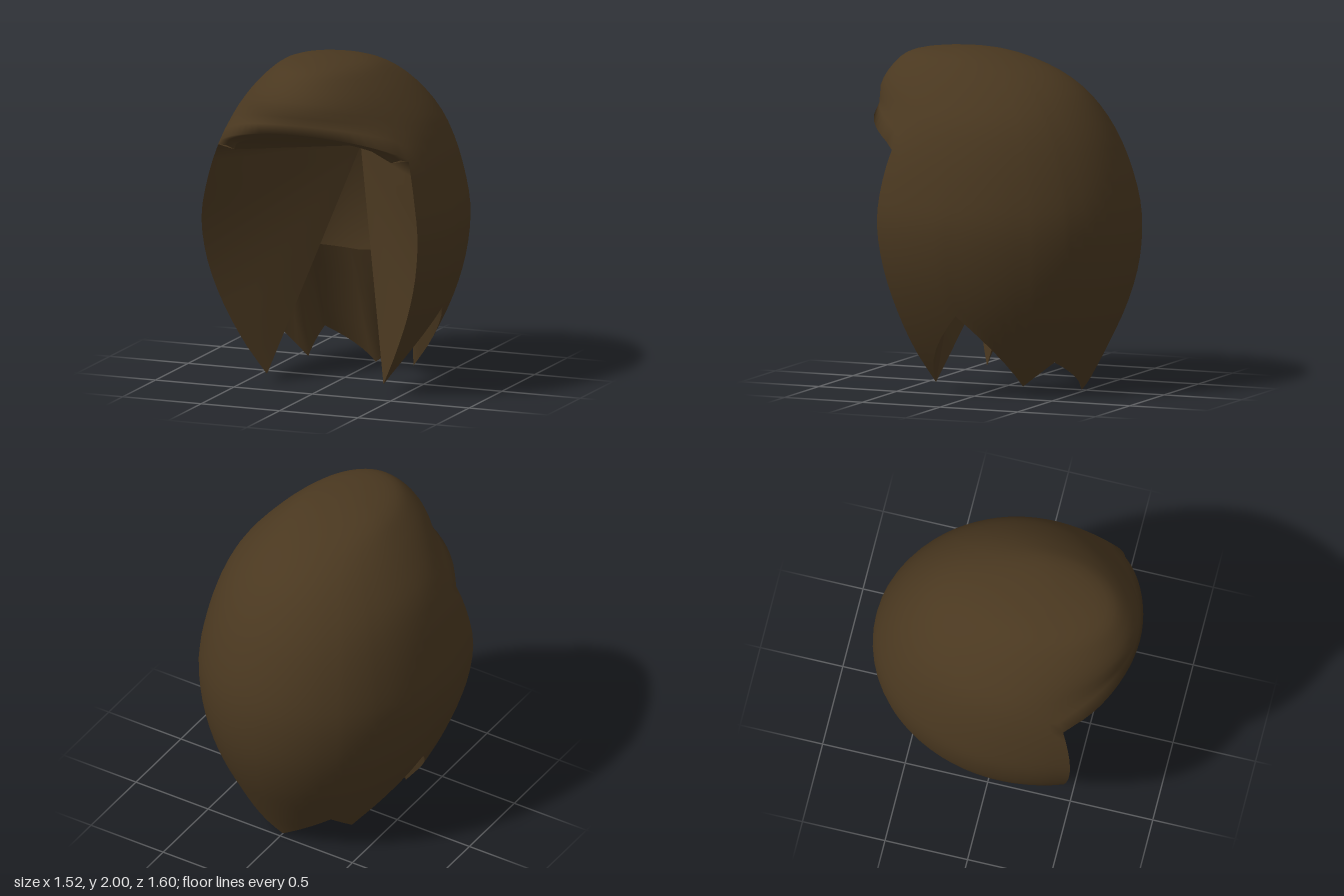
import * as THREE from 'three';
import { mergeGeometries, mergeVertices } from 'three/addons/utils/BufferGeometryUtils.js';

const DEG = Math.PI / 180;
const EDGE = 115; // angle of the front edge, measured from the back
const CORNER_Y = 1.45;

// Cross-sections from the crown down: y, half width, z of widest point, back z, front z
const SECTIONS = [
  [2.0, 0, 0.3, 0.3, 0.3], [1.97, 0.23, 0.24, 0, 0.59], [1.88, 0.37, 0.2, -0.28, 0.72],
  [1.77, 0.48, 0.16, -0.45, 0.785], [1.62, 0.595, 0.13, -0.58, 0.8], [1.45, 0.67, 0.12, -0.68, 0.98],
  [1.2, 0.735, 0.12, -0.77, 1.1], [1.0, 0.76, 0.12, -0.8, 1.12], [0.75, 0.73, 0.12, -0.785, 1.05],
  [0.5, 0.65, 0.1, -0.715, 0.95], [0.25, 0.53, 0.1, -0.6, 0.78], [0, 0.38, 0.1, -0.47, 0.53],
];
const depth = (y) => Math.sqrt(Math.max(0, 2 - y));
const KEYS = SECTIONS.map((s) => depth(s[0]));

// Smooth interpolation of one column of the section table
function sample(y, col) {
  const q = depth(y), n = KEYS.length;
  let i = 0;
  while (i < n - 2 && q > KEYS[i + 1]) i++;
  const v = (k) => SECTIONS[k][col];
  const slope = (k) => {
    const a = Math.max(0, k - 1), b = Math.min(n - 1, k + 1);
    return (v(b) - v(a)) / (KEYS[b] - KEYS[a]);
  };
  const h = KEYS[i + 1] - KEYS[i], t = (q - KEYS[i]) / h, t2 = t * t, t3 = t2 * t;
  return (2 * t3 - 3 * t2 + 1) * v(i) + (t3 - 2 * t2 + t) * h * slope(i)
    + (3 * t2 - 2 * t3) * v(i + 1) + (t3 - t2) * h * slope(i + 1);
}

// Point on the outer surface; angle runs from the back (0) over +x (90) to the front (180)
function shellPoint(angle, y) {
  const mid = sample(y, 2), c = Math.cos(angle * DEG);
  const reach = c > 0 ? mid - sample(y, 3) : sample(y, 4) - mid;
  return new THREE.Vector3(sample(y, 1) * Math.sin(angle * DEG), y, mid - reach * c);
}

// Zigzag tips along the bottom: angle, height
const TIPS = [[0, 0], [38, 0.2], [55, 0.05], [87, 0.49], [EDGE, 0.05]];
const halfHem = [];
for (let k = 0; k < TIPS.length - 1; k++) {
  for (let i = 0; i < 6; i++) {
    halfHem.push(TIPS[k].map((v, c) => THREE.MathUtils.lerp(v, TIPS[k + 1][c], i / 6)));
  }
}
halfHem.push(TIPS[TIPS.length - 1]);
const HEM = [...halfHem.slice(1).reverse().map(([a, y]) => [-a, y]), ...halfHem];

// Rows equally spaced along the curve of the crown
const crownRows = (angle, yEnd, n = 14) =>
  Array.from({ length: n + 1 }, (_, j) => shellPoint(angle, 2 - (depth(yEnd) * j / n) ** 2));

function sideColumn([angle, yEnd]) {
  const column = crownRows(angle, CORNER_Y);
  for (let j = 1; j <= 16; j++) column.push(shellPoint(angle, THREE.MathUtils.lerp(CORNER_Y, yEnd, j / 16)));
  return column;
}

// Inner edge beneath the fringe
function fringeRim(angle) {
  const s = Math.sin(angle * DEG) / Math.sin(EDGE * DEG);
  const arch = Math.sqrt(Math.max(0, 1 - s * s));
  return new THREE.Vector3(0.5 * s, 1.43 + 0.13 * arch, 0.49 + 0.12 * arch);
}

function fringeColumn(angle) {
  const s = 1 - Math.abs(180 - angle) / (180 - EDGE);
  const column = crownRows(angle, CORNER_Y + 0.17 * Math.pow(Math.sin(s * Math.PI / 2), 0.7));
  const lip = column[column.length - 1], rim = fringeRim(angle);
  column.push(lip.clone().lerp(rim, 0.5).add(new THREE.Vector3(0, 0.01, 0)), rim);
  return column;
}

function build(points, index) {
  const g = new THREE.BufferGeometry();
  g.setAttribute('position', new THREE.Float32BufferAttribute(points.flatMap((p) => p.toArray()), 3));
  g.setIndex(index);
  return g;
}

function grid(columns) {
  const rows = columns[0].length, index = [];
  for (let i = 0; i < columns.length - 1; i++) {
    for (let j = 0; j < rows - 1; j++) {
      const a = i * rows + j, b = a + rows;
      index.push(a, b, a + 1);
      index.push(b, b + 1, a + 1);
    }
  }
  return build(columns.flat(), index);
}

function fan(tip, points) {
  const index = [];
  for (let i = 1; i < points.length; i++) index.push(0, i, i + 1);
  return build([tip, ...points], index);
}

export function createModel() {
  const group = new THREE.Group();
  const material = new THREE.MeshStandardMaterial({ color: 0x4a3820, side: THREE.DoubleSide });
  const add = (name, geometry) => {
    geometry.computeVertexNormals();
    const mesh = new THREE.Mesh(geometry, material);
    mesh.name = name;
    group.add(mesh);
  };

  // Outer hair with the overhanging fringe
  const fringeAngles = Array.from({ length: 25 }, (_, i) => EDGE + (360 - 2 * EDGE) * i / 24);
  const outer = [grid(HEM.map(sideColumn)), grid(fringeAngles.map(fringeColumn))];
  add('outerHair', mergeVertices(mergeGeometries(outer), 1e-4));

  // Front panels run from the front edges back to one inner point
  const apex = new THREE.Vector3(0, 1.35, -0.24);
  const leftEdge = sideColumn(TIPS[TIPS.length - 1]).slice(14).reverse();
  leftEdge.push(fringeRim(EDGE));
  const rightEdge = leftEdge.map((p) => new THREE.Vector3(-p.x, p.y, p.z)).reverse();
  add('leftFrontPanel', fan(apex, leftEdge));
  add('rightFrontPanel', fan(apex, rightEdge));
  add('fringeUnderside', fan(apex, fringeAngles.map(fringeRim)));

  // Inner wall and the sloping lining down to the zigzag hem
  const ring = HEM.map(([angle]) => {
    const s = Math.sin(angle * DEG), c = Math.cos(angle * DEG);
    return new THREE.Vector3(0.45 * s, 0.73 + 0.04 * Math.abs(s), -0.2 + 0.25 * (1 - c));
  });
  add('innerWall', fan(apex, ring));
  add('innerLining', grid(HEM.map(([angle, y], i) => {
    const hem = shellPoint(angle, y);
    return [0, 0.25, 0.5, 0.75, 1].map((t) => hem.clone().lerp(ring[i], t));
  })));

  return group;
}
